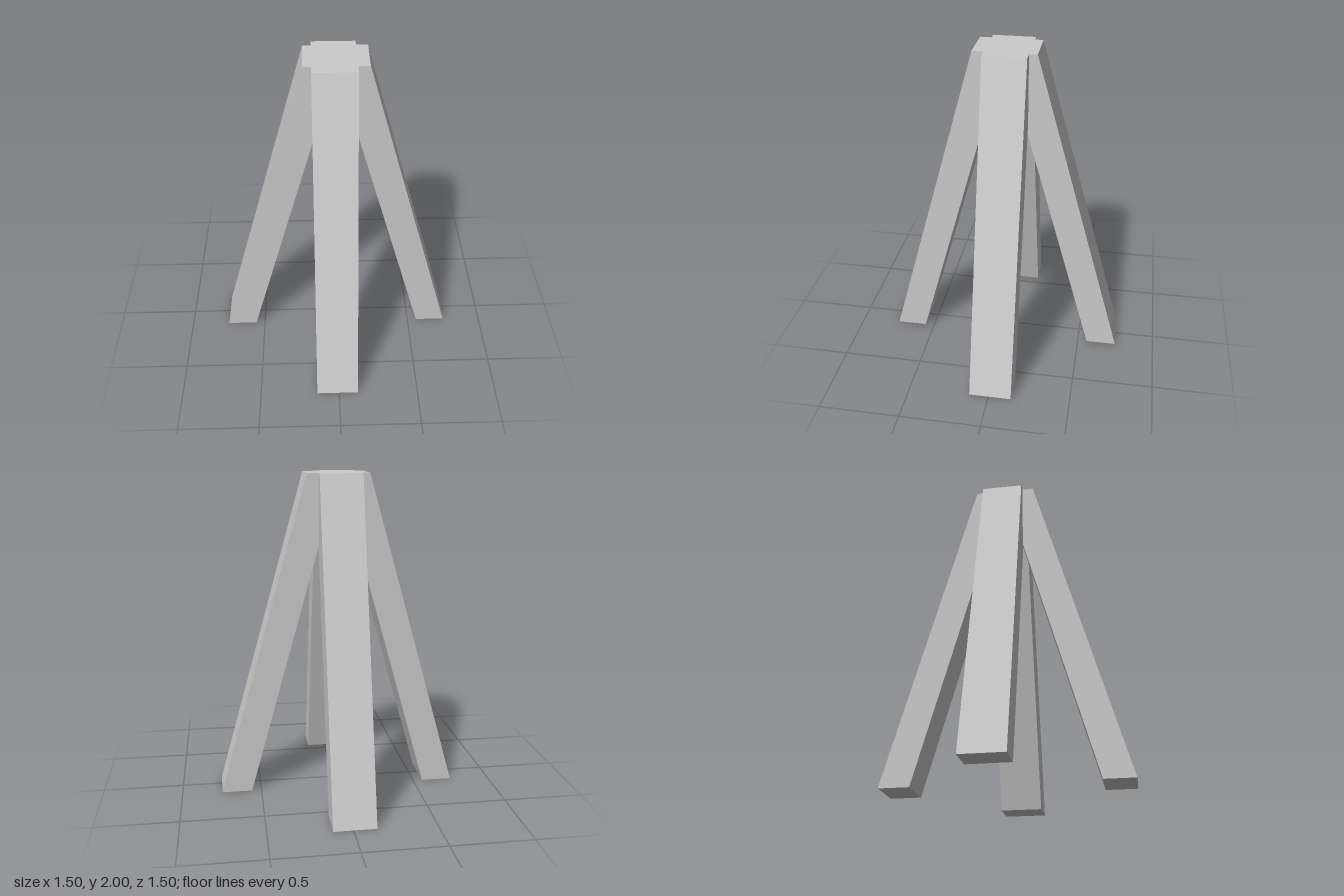
import * as THREE from 'three';

const HEIGHT = 2;
const NEAR = -0.14, FAR = 0.12; // leg sides, slightly off centre

// Slanted beam with level ends, leaning out towards side * x, from z0 to z1
function legGeometry(side, z0, z1) {
  const shape = new THREE.Shape([[0.56, 0], [0.75, 0], [0.19, HEIGHT], [0, HEIGHT]]
    .map(([x, y]) => new THREE.Vector2(side * x, y)));
  return new THREE.ExtrudeGeometry(shape, { depth: z1 - z0, bevelEnabled: false })
    .translate(0, 0, z0);
}

export function createModel() {
  const group = new THREE.Group();
  group.name = 'fourLeggedStand';
  const material = new THREE.MeshStandardMaterial({ color: 0xcccccc, flatShading: true });

  const addLeg = (name, geometry) => {
    const leg = new THREE.Mesh(geometry, material);
    leg.name = name;
    group.add(leg);
  };

  for (const side of [1, -1]) {
    // Legs to the left and right
    addLeg(side > 0 ? 'leftLeg' : 'rightLeg', legGeometry(side, NEAR, FAR));
    // Legs to the front and back: the same beam turned so that x becomes z
    addLeg(side > 0 ? 'frontLeg' : 'backLeg',
      legGeometry(side, -FAR, -NEAR).rotateY(-Math.PI / 2));
  }
  return group;
}
